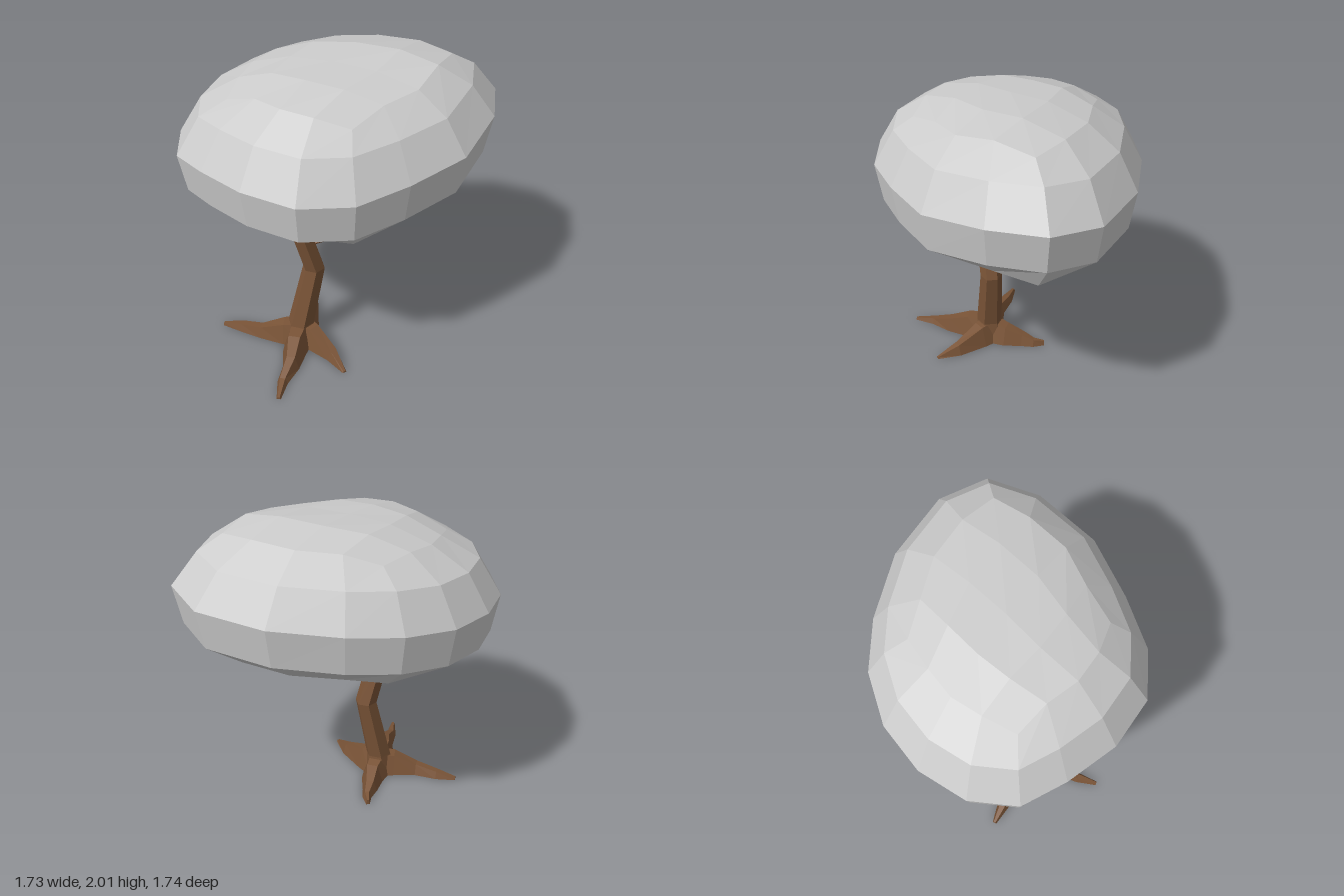
import * as THREE from 'three';

const V = (x, y, z) => new THREE.Vector3(x, y, z);
const bark = new THREE.MeshStandardMaterial({ color: 0x7a5437, flatShading: true });
const leaf = new THREE.MeshStandardMaterial({ color: 0xcccccc, flatShading: true });

function facetMesh(name, points, idx, material) {
  const g = new THREE.BufferGeometry().setFromPoints(points);
  g.setIndex(idx);
  g.computeVertexNormals();
  const mesh = new THREE.Mesh(g, material);
  mesh.name = name;
  return mesh;
}

// Skin a list of cross-sections (counter-clockwise about the travel direction), optionally closing both ends.
function loft(name, rings, material, closed = true) {
  const n = rings[0].length, points = rings.flat(), idx = [];
  const last = points.length - n, tip = points.length;
  const centre = (r) => r.reduce((s, p) => s.add(p), V(0, 0, 0)).divideScalar(n);
  if (closed) points.push(centre(rings[0]), centre(rings[rings.length - 1]));
  for (let j = 0; j < n; j++) {
    const k = (j + 1) % n;
    for (let i = 0; i < rings.length - 1; i++) {
      const p = i * n + j, q = i * n + k;
      idx.push(p, q, q + n, p, q + n, p + n);
    }
    if (closed) idx.push(tip, k, j, tip + 1, last + j, last + k);
  }
  return facetMesh(name, points, idx, material);
}

// Fill a 16-point ring with a domed 4 x 4 grid of facets.
function gridCap(name, ring, dome, facesUp) {
  const points = [], idx = [];
  const [c0, c1, c2, c3] = [ring[0], ring[4], ring[8], ring[12]];
  for (let j = 0; j <= 4; j++) for (let i = 0; i <= 4; i++) {
    const u = i / 4, v = j / 4;
    const p = V(0, dome * 16 * u * (1 - u) * v * (1 - v), 0);
    p.addScaledVector(ring[i], 1 - v).addScaledVector(ring[12 - i], v);
    p.addScaledVector(ring[(16 - j) % 16], 1 - u).addScaledVector(ring[4 + j], u);
    p.addScaledVector(c0, -(1 - u) * (1 - v)).addScaledVector(c1, -u * (1 - v));
    p.addScaledVector(c2, -u * v).addScaledVector(c3, -(1 - u) * v);
    points.push(p);
    if (i < 4 && j < 4) {
      const a = j * 5 + i, b = a + 1, c = a + 6, d = a + 5;
      idx.push(...(facesUp ? [a, b, c, a, c, d] : [a, c, b, a, d, c]));
    }
  }
  return facetMesh(name, points, idx, leaf);
}

// Lopsided canopy: one outline [x, y, z] scaled into tilted rings, with gridded top and underside.
function canopy() {
  const outline = [
    [0.75, 1.66, -0.72], [0.47, 1.63, -0.87], [0.03, 1.61, -0.84], [-0.36, 1.59, -0.67],
    [-0.62, 1.57, -0.48], [-0.80, 1.54, -0.21], [-0.87, 1.52, 0.10], [-0.83, 1.50, 0.41],
    [-0.67, 1.50, 0.66], [-0.41, 1.54, 0.78], [-0.09, 1.56, 0.87], [0.24, 1.55, 0.85],
    [0.50, 1.54, 0.67], [0.68, 1.56, 0.38], [0.85, 1.59, 0.02], [0.86, 1.65, -0.40],
  ];
  // scale, mean height, share of the tilt, x shift, corner scale, corner lift
  const levels = [
    [0.72, 1.195, 0.45, 0.02, 1.12, 0.005], [0.955, 1.335, 1, 0, 1, 0], [1, 1.58, 1, 0, 1, 0],
    [0.845, 1.795, 0.75, 0, 1, 0], [0.61, 1.925, 0.7, 0.02, 1.12, -0.04],
  ];
  const rings = levels.map(([s, h, tilt, dx, corner, lift]) => outline.map(([x, y, z], i) => {
    const isCorner = i % 4 === 0, k = isCorner ? s * corner : s;
    return V(x * k + dx, h + (y - 1.58) * tilt + (isCorner ? lift : 0), z * k);
  }));
  const group = new THREE.Group();
  group.name = 'canopy';
  group.add(
    loft('canopySide', rings, leaf, false),
    gridCap('canopyTop', rings[4], 0.025, true),
    gridCap('canopyUnderside', rings[0], -0.06, false),
  );
  return group;
}

// Crooked six-sided trunk: [x, y, z, radius]
function trunk() {
  const stations = [
    [-0.1, 0, 0.275, 0.11], [-0.095, 0.155, 0.275, 0.088], [-0.03, 0.6, 0.205, 0.073],
    [-0.09, 0.955, 0.285, 0.07], [-0.035, 1.15, 0.185, 0.07], [0.0, 1.27, 0.12, 0.066],
  ];
  return loft('trunk', stations.map(([x, y, z, r]) => Array.from({ length: 6 }, (_, i) => {
    const t = (i / 6) * Math.PI * 2 + 0.2;
    return V(x + r * Math.cos(t), y, z - r * Math.sin(t));
  })), bark);
}

// Flat-bottomed root: [x, z, top height, half width] from the trunk to the tip
function root(name, path) {
  const rings = path.map(([x, z, h, w], i) => {
    const p = path[Math.max(i - 1, 0)], q = path[Math.min(i + 1, path.length - 1)];
    const s = V(-(q[1] - p[1]), 0, q[0] - p[0]).normalize();
    const at = (side, y) => V(x + s.x * side, y, z + s.z * side);
    return [at(-w * 0.5, h), at(w * 0.5, h), at(w, 0), at(-w, 0)];
  });
  return loft(name, rings, bark);
}

// Thin tapering branch: [x, y, z, radius]
function branch(name, path) {
  const pts = path.map(([x, y, z]) => V(x, y, z));
  const rings = pts.map((c, i) => {
    const d = pts[Math.min(i + 1, pts.length - 1)].clone().sub(pts[Math.max(i - 1, 0)]).normalize();
    const u = V(0, 0, 1).addScaledVector(d, -d.z).normalize();
    const v = d.clone().cross(u);
    return Array.from({ length: 4 }, (_, k) => c.clone()
      .addScaledVector(u, path[i][3] * Math.cos(k * Math.PI / 2))
      .addScaledVector(v, path[i][3] * Math.sin(k * Math.PI / 2)));
  });
  return loft(name, rings, bark);
}

export function createModel() {
  const tree = new THREE.Group();
  tree.name = 'tree';
  tree.add(canopy(), trunk());

  const roots = new THREE.Group();
  roots.name = 'roots';
  roots.add(
    root('rightRoot', [[-0.08, 0.27, 0.155, 0.1], [-0.2, 0.33, 0.14, 0.08],
      [-0.35, 0.38, 0.075, 0.05], [-0.5, 0.4, 0.05, 0.04], [-0.63, 0.43, 0.02, 0.014]]),
    root('frontRoot', [[-0.1, 0.27, 0.155, 0.1], [-0.06, 0.43, 0.145, 0.08],
      [-0.01, 0.56, 0.095, 0.055], [0.01, 0.7, 0.04, 0.035], [0.06, 0.83, 0.015, 0.014]]),
    root('leftRoot', [[-0.1, 0.27, 0.155, 0.1], [0.01, 0.29, 0.145, 0.075],
      [0.19, 0.35, 0.075, 0.045], [0.32, 0.43, 0.01, 0.014]]),
    root('backRoot', [[-0.1, 0.28, 0.155, 0.1], [-0.12, 0.14, 0.125, 0.075],
      [-0.16, 0.03, 0.08, 0.05], [-0.18, -0.05, 0.05, 0.03], [-0.22, -0.11, 0.035, 0.012]]),
  );
  tree.add(roots);

  const branches = new THREE.Group();
  branches.name = 'branches';
  branches.add(
    branch('rightBranch', [[-0.1, 0.83, 0.27, 0.016], [-0.31, 1.01, 0.34, 0.009], [-0.45, 1.23, 0.43, 0.006]]),
    branch('leftBranch', [[-0.04, 0.79, 0.22, 0.012], [0.17, 0.89, 0.14, 0.005], [0.21, 0.955, 0.13, 0.002]]),
    branch('leftTwig', [[0.19, 0.925, 0.135, 0.004], [0.225, 0.94, 0.135, 0.003], [0.235, 0.965, 0.14, 0.002]]),
  );
  tree.add(branches);
  return tree;
}
